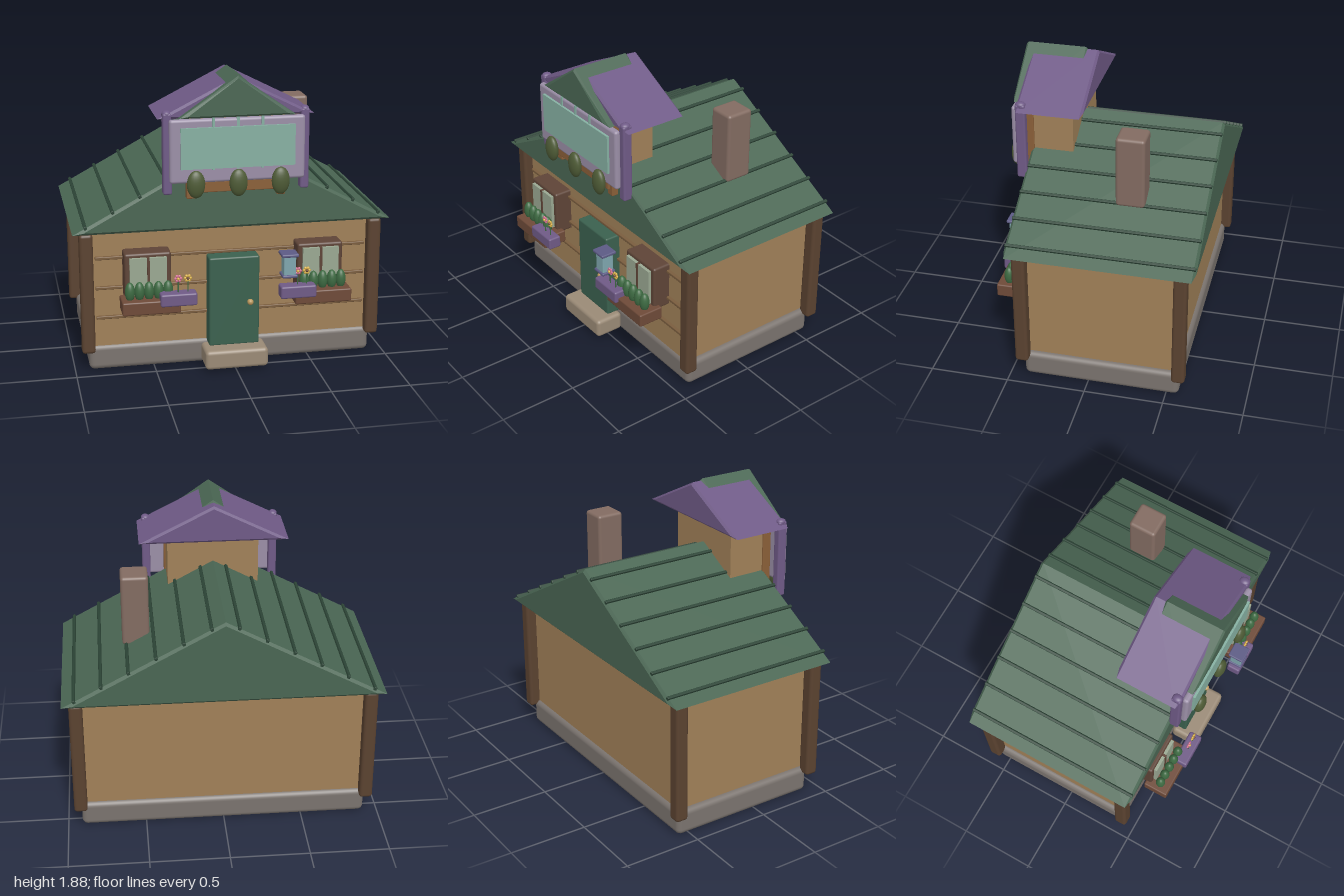
import * as THREE from 'three';
import { RoundedBoxGeometry } from 'three/addons/geometries/RoundedBoxGeometry.js';
import { ConvexGeometry } from 'three/addons/geometries/ConvexGeometry.js';

const C = {
  wall: 0xa08058, plank: 0x7a5d3e, post: 0x5a4230, stone: 0x7a736e, step: 0x9a8a76, roof: 0x4a6653,
  batten: 0x2c4436, door: 0x3a604e, brass: 0xb8955a, chimney: 0x826b61, frame: 0x5e4437, glass: 0x9aa892,
  planter: 0x6e4a38, shrub: 0x3d6a42, purple: 0x6f5a86, lilac: 0x9a8ea6, teal: 0x86b0a2, wood: 0x8a5f38,
  olive: 0x4e5b36, lantern: 0x7fa6ae, cap: 0x5c5a84, pink: 0xd07090, yellow: 0xd8b048,
};
const mats = {};
const mat = (c) => (mats[c] ??= new THREE.MeshStandardMaterial({ color: C[c] }));

export function createModel() {
  const model = new THREE.Group();
  model.name = 'cottage';

  const add = (name, geo, color, x = 0, y = 0, z = 0, parent = model) => {
    const m = new THREE.Mesh(geo, mat(color));
    m.name = name;
    m.position.set(x, y, z);
    parent.add(m);
    return m;
  };
  // Box from its extents, with rounded edges when r > 0
  const box = (name, color, [x0, x1], [y0, y1], [z0, z1], r = 0, parent = model) => {
    const s = [x1 - x0, y1 - y0, z1 - z0];
    const geo = r ? new RoundedBoxGeometry(...s, 3, r) : new THREE.BoxGeometry(...s);
    return add(name, geo, color, (x0 + x1) / 2, (y0 + y1) / 2, (z0 + z1) / 2, parent);
  };
  const ball = (name, color, x, y, z, rx, ry, rz, parent = model) => {
    const m = add(name, new THREE.SphereGeometry(1, 20, 14), color, x, y, z, parent);
    m.scale.set(rx, ry, rz);
    return m;
  };
  // Solid gable roof with bevelled end faces
  const gable = (name, color, half, y0, y1, z0, z1, b) => {
    const pts = [];
    const ring = (z, inset) => {
      const i = inset * 4.2;
      pts.push(new THREE.Vector3(-half + i, y0 + inset, z), new THREE.Vector3(half - i, y0 + inset, z),
        new THREE.Vector3(0, y1 - inset * 1.13, z));
    };
    ring(z0, b); ring(z0 + b, 0); ring(z1 - b, 0); ring(z1, b);
    return add(name, new ConvexGeometry(pts), color);
  };

  // Base and walls
  box('foundation', 'stone', [-0.91, 0.91], [0, 0.165], [-0.58, 0.41], 0.035);
  box('walls', 'wall', [-0.875, 0.875], [0.15, 0.93], [-0.555, 0.395]);
  for (const s of [-1, 1])
    for (const z of [-0.58, 0.415])
      box('cornerPost', 'post', [s * 0.915 - 0.042, s * 0.915 + 0.042], [0.13, 0.91], [z - 0.042, z + 0.042], 0.02);
  for (const y of [0.35, 0.545, 0.74])
    box('wallPlank', 'plank', [-0.86, 0.86], [y - 0.01, y + 0.01], [0.38, 0.415], 0.005);

  // Door and step
  box('doorStep', 'step', [-0.2, 0.2], [0.02, 0.145], [0.41, 0.6], 0.025);
  box('door', 'door', [-0.16, 0.16], [0.14, 0.725], [0.38, 0.495], 0.012);
  ball('doorKnob', 'brass', 0.1, 0.425, 0.505, 0.02, 0.02, 0.02);

  // Main roof with battens running along it
  const half = 1, eave = 0.92, ridge = 1.46;
  gable('mainRoof', 'roof', half, eave, ridge, -0.67, 0.5, 0.016);
  for (const s of [-1, 1])
    for (let i = 0; i < 6; i++) {
      const x = 0.083 + i * 0.1675;
      const m = add('roofBatten', new RoundedBoxGeometry(0.02, 0.022, 1.165, 2, 0.005), 'batten',
        s * x, ridge - (ridge - eave) * x / half + 0.003, -0.085);
      m.rotation.z = -s * Math.atan2(ridge - eave, half);
    }
  box('chimney', 'chimney', [0.44, 0.61], [1.14, 1.6], [-0.29, -0.11], 0.02);

  // Windows with planters, and purple flower boxes
  for (const s of [-1, 1]) {
    const span = (a, b) => (s > 0 ? [a, b] : [-b, -a]);
    const g = new THREE.Group();
    g.name = s > 0 ? 'leftWindow' : 'rightWindow';
    model.add(g);
    box('windowFrame', 'frame', span(0.4, 0.69), [0.49, 0.79], [0.38, 0.51], 0.015, g);
    box('windowPane', 'glass', span(0.43, 0.537), [0.53, 0.765], [0.5, 0.53], 0, g);
    box('windowPane', 'glass', span(0.553, 0.66), [0.53, 0.765], [0.5, 0.53], 0, g);
    box('mullion', 'frame', span(0.537, 0.553), [0.53, 0.768], [0.5, 0.536], 0, g);
    box('planter', 'planter', span(0.36, 0.72), [0.435, 0.52], [0.47, 0.635], 0.01, g);
    for (let i = 0; i < 5; i++)
      ball('shrub', 'shrub', s * (0.43 + i * 0.059), 0.565, 0.565, 0.031, 0.062, 0.031, g);
    box('flowerBox', 'purple', span(0.262, 0.488), [0.485, 0.565], [0.57, 0.658], 0.012, g);

    // Two flowers per box
    for (const [x, color, heart] of [[s > 0 ? 0.375 : -0.375, 'pink', 'yellow'], [s > 0 ? 0.432 : -0.315, 'yellow', 'planter']]) {
      const f = new THREE.Group();
      f.name = 'flower';
      f.position.set(x, 0.652, 0.615);
      g.add(f);
      add('stem', new THREE.CylinderGeometry(0.004, 0.004, 0.1, 8), 'shrub', 0, -0.05, 0, f);
      ball('flowerHeart', heart, 0, 0, 0.006, 0.009, 0.009, 0.009, f);
      for (let k = 0; k < 6; k++) {
        const a = k * Math.PI / 3;
        ball('petal', color, 0.016 * Math.cos(a), 0.016 * Math.sin(a), 0, 0.01, 0.01, 0.007, f);
      }
    }
  }

  // Lantern
  box('lanternGlass', 'lantern', [0.278, 0.355], [0.635, 0.765], [0.577, 0.654], 0.006);
  box('lanternCap', 'cap', [0.262, 0.37], [0.757, 0.778], [0.562, 0.668], 0.008);
  box('lanternBase', 'cap', [0.268, 0.365], [0.622, 0.642], [0.567, 0.664], 0.008);

  // Dormer body and its roofs
  box('dormerBody', 'wall', [-0.295, 0.295], [1.2, 1.7], [0.23, 0.49]);
  gable('dormerRoof', 'purple', 0.48, 1.63, 1.872, 0.13, 0.55, 0.014);
  gable('dormerGable', 'roof', 0.355, 1.638, 1.885, 0.205, 0.597, 0.012);

  // Dormer front: wooden frame, lilac panel and long glass
  for (const s of [-1, 1]) {
    box('dormerUpright', 'wood', [s * 0.28 - 0.026, s * 0.28 + 0.026], [1.13, 1.63], [0.48, 0.54], 0.006);
    box('purplePost', 'purple', [s * 0.423 - 0.027, s * 0.423 + 0.027], [1.165, 1.665], [0.49, 0.553], 0.012);
    ball('postKnob', 'purple', s * 0.423, 1.66, 0.522, 0.028, 0.02, 0.032);
  }
  box('dormerBeam', 'wood', [-0.28, 0.28], [1.17, 1.24], [0.49, 0.555], 0.006);
  box('dormerPanel', 'lilac', [-0.415, 0.415], [1.24, 1.632], [0.545, 0.588], 0.018);
  for (const x of [-0.15, 0, 0.15])
    box('glazingBar', 'teal', [x - 0.008, x + 0.008], [1.32, 1.64], [0.58, 0.594]);
  box('dormerGlass', 'teal', [-0.35, 0.35], [1.33, 1.582], [0.58, 0.603]);
  for (const x of [-0.26, 0, 0.26])
    ball('dormerShrub', 'olive', x, 1.238, 0.607, 0.056, 0.085, 0.034);

  return model;
}
